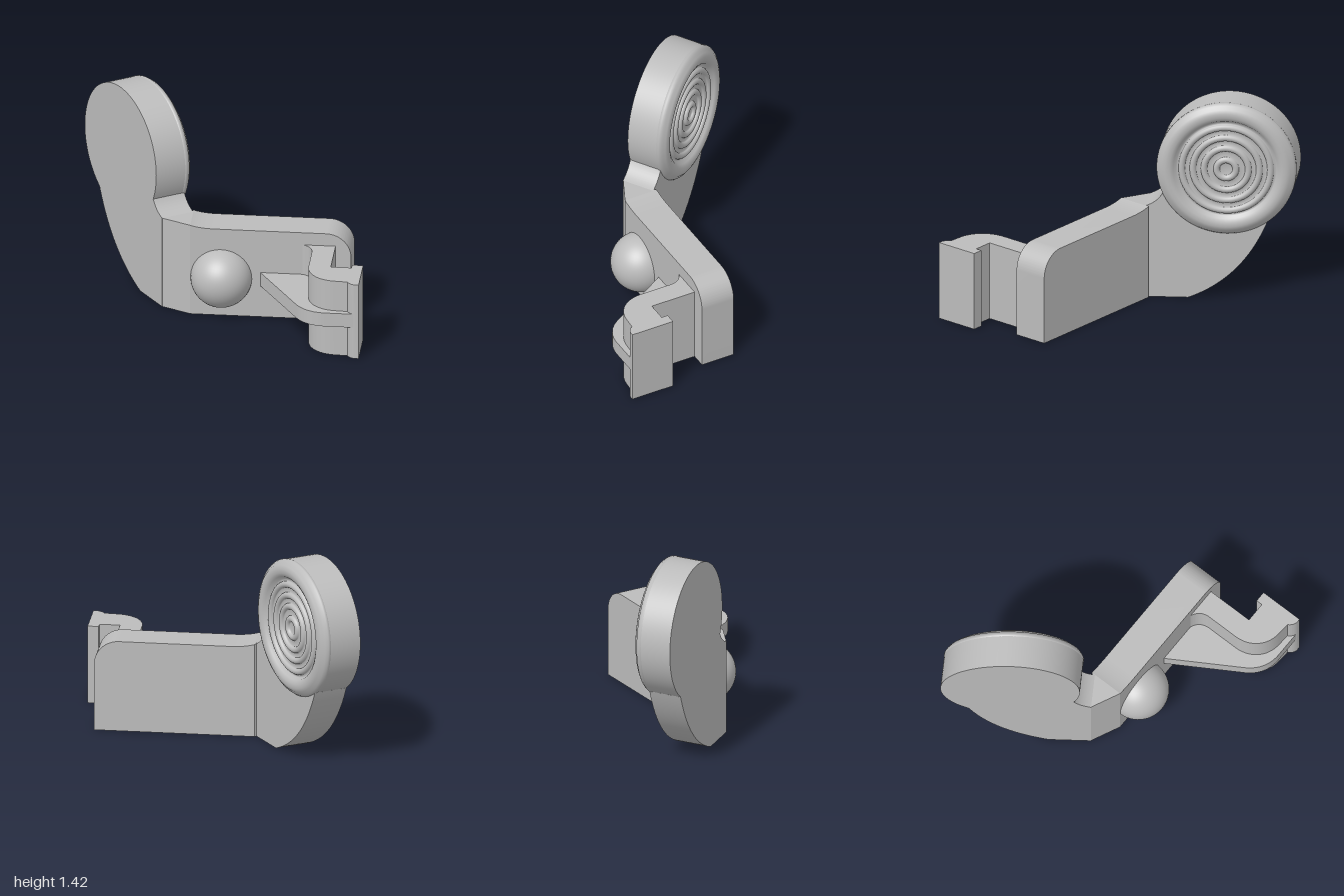
import * as THREE from 'three';
import { toCreasedNormals } from 'three/addons/utils/BufferGeometryUtils.js';

const grey = new THREE.MeshStandardMaterial({ color: 0xbcbcbc });
grey.name = 'plain grey';

export function createModel() {
  const model = new THREE.Group();

  const add = (name, geometry) => {
    const mesh = new THREE.Mesh(geometry, grey);
    mesh.name = name;
    model.add(mesh);
    return mesh;
  };
  const extrude = (shape, depth) =>
    new THREE.ExtrudeGeometry(shape, { depth, bevelEnabled: false, curveSegments: 32 });
  // Plan shapes are drawn as (x, -z) and raised from y0 to y1
  const raise = (name, shape, y0, y1) => add(name, toCreasedNormals(
    extrude(shape, y1 - y0).rotateX(-Math.PI / 2).translate(0, y0, 0), 0.5));

  // Frame of the angled arm: origin at the disc centre on its back face
  const armFrame = new THREE.Matrix4().makeBasis(
    new THREE.Vector3(-0.595, 0, -0.804),
    new THREE.Vector3(0, 1, 0),
    new THREE.Vector3(0.845, 0, -0.53),
  ).setPosition(-0.725, 0.945, -0.318);
  const thick = 0.235;

  // Angled arm with its round head
  const arm = new THREE.Shape();
  arm.moveTo(-0.546, -0.945);
  arm.lineTo(-0.26, -0.945);
  arm.quadraticCurveTo(0.11, -0.8, 0.277, -0.38);
  arm.absarc(0, 0, 0.47, -0.941, Math.PI + 0.416, false);
  arm.quadraticCurveTo(-0.47, -0.26, -0.546, -0.285);
  add('angledArm', toCreasedNormals(extrude(arm, thick).applyMatrix4(armFrame), 0.5));

  // Round pad with a raised rim and concentric ridges
  const pad = [[0.455, 0.2], [0.472, 0.222], [0.472, 0.238], [0.46, 0.256], [0.445, 0.262],
    [0.435, 0.274], [0.41, 0.285], [0.38, 0.283], [0.355, 0.27], [0.34, 0.245]];
  for (const r of [0.3, 0.225, 0.15, 0.065]) {
    for (let i = 0; i <= 8; i++) {
      const a = (i / 8) * Math.PI;
      pad.push([r + 0.023 * Math.cos(a), 0.245 + 0.024 * Math.sin(a)]);
    }
  }
  pad.push([0, 0.245]);
  add('ridgedPad', new THREE.LatheGeometry(pad.map(([r, h]) => new THREE.Vector2(r, h)), 72)
    .rotateX(Math.PI / 2).applyMatrix4(armFrame));

  // Wedge joining the arm to the main block
  const wedge = new THREE.Shape();
  wedge.moveTo(-0.398, -0.12);
  wedge.lineTo(-0.2, -0.213);
  wedge.lineTo(-0.2, 0.03);
  wedge.lineTo(-0.215, 0.012);
  raise('cornerWedge', wedge, 0, 0.66);

  // Main block with one rounded upper corner
  const block = new THREE.Shape();
  block.moveTo(-0.2, 0);
  block.lineTo(0.89, 0);
  block.lineTo(0.89, 0.47);
  block.absarc(0.72, 0.47, 0.17, 0, Math.PI / 2, false);
  block.lineTo(-0.05, 0.64);
  block.quadraticCurveTo(-0.14, 0.642, -0.2, 0.66);
  add('mainBlock', toCreasedNormals(extrude(block, 0.243).translate(0, 0, -0.03), 0.5));

  // Half ball on the front face
  add('frontBall', new THREE.SphereGeometry(0.208, 48, 32)).position.set(0.01, 0.28, 0.203);

  // Hooked clip
  const clip = new THREE.Shape();
  clip.moveTo(0.53, -0.205);
  clip.bezierCurveTo(0.59, -0.215, 0.635, -0.25, 0.635, -0.32);
  clip.lineTo(0.635, -0.55);
  clip.bezierCurveTo(0.64, -0.67, 0.72, -0.755, 0.84, -0.76);
  clip.lineTo(0.92, -0.765);
  clip.quadraticCurveTo(0.935, -0.795, 0.97, -0.805);
  clip.lineTo(1, -0.805);
  clip.lineTo(1, -0.495);
  clip.lineTo(0.925, -0.495);
  clip.lineTo(0.925, -0.54);
  clip.lineTo(0.785, -0.54);
  clip.lineTo(0.785, -0.205);
  raise('clipHook', clip, 0, 0.55);

  // Thin rib bracing the clip
  const rib = new THREE.Shape();
  rib.moveTo(0.27, -0.205);
  rib.lineTo(0.56, -0.68);
  rib.bezierCurveTo(0.61, -0.76, 0.68, -0.803, 0.78, -0.803);
  rib.lineTo(0.97, -0.803);
  rib.lineTo(0.93, -0.7);
  rib.lineTo(0.7, -0.5);
  rib.lineTo(0.7, -0.205);
  raise('clipRib', rib, 0.23, 0.33);

  return model;
}
